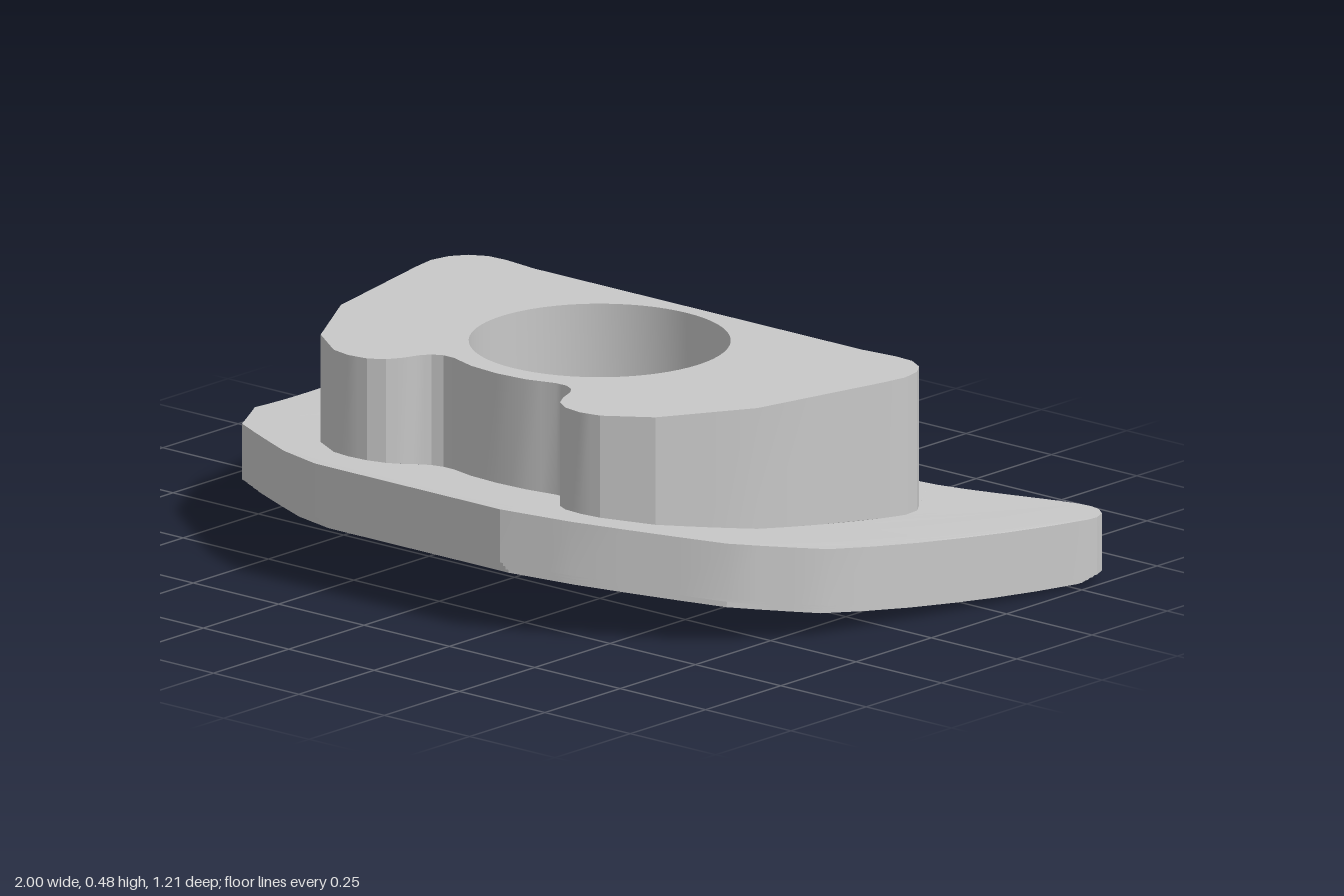
import * as THREE from 'three';
import { toCreasedNormals } from 'three/addons/utils/BufferGeometryUtils.js';

// Heights of the gently curved plate along z
const topY = z => 0.155 + 0.09 * (z + 0.6) ** 2;
const bottomY = z => 0.105 * Math.max(z + 0.55, 0) ** 2;
const BLOCK_TOP = 0.48;
const POCKET_TOP = 0.29;

// Rings are lists of [x, z], running front -> +x -> back -> -x
const mirrorRing = half => [
  ...half,
  ...half.filter(p => p[0] > 0).reverse().map(([x, z]) => [-x, z]),
];
const flipX = ring => ring.map(([x, z]) => [-x, z]).reverse();
const mix = (a, b, t) => a.map((p, i) => [0, 1].map(k => p[k] + (b[i][k] - p[k]) * t));
const densify = (ring, n) => ring.flatMap((p, i) => {
  const q = ring[(i + 1) % ring.length];
  return Array.from({ length: n }, (_, k) => [0, 1].map(c => p[c] + (q[c] - p[c]) * k / n));
});
// Moves a ring inwards by d
const inset = (ring, d) => ring.map((p, i) => {
  const a = ring[(i + ring.length - 1) % ring.length], b = ring[(i + 1) % ring.length];
  const dx = b[0] - a[0], dz = b[1] - a[1], l = Math.hypot(dx, dz);
  return [p[0] + dz / l * d, p[1] - dx / l * d];
});
const lift = (ring, y) => ring.map(([x, z]) => [x, typeof y === 'function' ? y(z) : y, z]);

// Wall through a stack of lifted rings, from bottom to top
function wall(out, rings, inward = false) {
  for (let r = 0; r + 1 < rings.length; r++) {
    const a = rings[r], b = rings[r + 1];
    a.forEach((p, i) => {
      const j = (i + 1) % a.length;
      const q = inward ? [p, b[j], a[j], p, b[i], b[j]] : [p, a[j], b[j], p, b[j], b[i]];
      q.forEach(v => out.push(...v));
    });
  }
}

// Cap with holes, subdivided so that it can follow a curved height
function cap(out, ring, holes, y, up, levels) {
  const vec = r => r.map(([x, z]) => new THREE.Vector2(x, z));
  const pts = [ring, ...holes].flat();
  const height = typeof y === 'function' ? y : () => y;
  const split = (a, b, c, n) => {
    if (n === 0) {
      [a, b, c].forEach(([x, z]) => out.push(x, height(z), z));
      return;
    }
    const mid = (p, q) => [(p[0] + q[0]) / 2, (p[1] + q[1]) / 2];
    const ab = mid(a, b), bc = mid(b, c), ca = mid(c, a);
    split(a, ab, ca, n - 1);
    split(ab, b, bc, n - 1);
    split(ca, bc, c, n - 1);
    split(ab, bc, ca, n - 1);
  };
  for (const [i, j, k] of THREE.ShapeUtils.triangulateShape(vec(ring), holes.map(vec))) {
    const a = pts[i], b = pts[j], c = pts[k];
    const ny = (b[1] - a[1]) * (c[0] - a[0]) - (b[0] - a[0]) * (c[1] - a[1]);
    if ((ny > 0) === up) split(a, b, c, levels);
    else split(a, c, b, levels);
  }
}

function addMesh(group, name, material, out) {
  const geometry = new THREE.BufferGeometry();
  geometry.setAttribute('position', new THREE.Float32BufferAttribute(out, 3));
  const mesh = new THREE.Mesh(toCreasedNormals(geometry, 0.4), material);
  mesh.name = name;
  group.add(mesh);
}

export function createModel() {
  const group = new THREE.Group();
  group.name = 'mountingPlate';
  const grey = new THREE.MeshStandardMaterial({ color: 0xc8c8c8 });
  grey.name = 'plain grey';

  // Outlines
  const plate = densify(mirrorRing([
    [0, 0.605], [0.27, 0.605], [0.42, 0.54], [0.71, 0.35], [0.84, 0.16], [0.92, -0.2],
    [0.998, -0.52], [1, -0.55], [0.987, -0.582], [0.96, -0.602], [0.93, -0.608],
    [0.89, -0.603], [0.82, -0.583], [0.72, -0.55], [0.64, -0.525], [0.57, -0.508],
    [0.5, -0.5], [0, -0.5],
  ]), 3);
  const block = densify(mirrorRing([
    [0, 0.31], [0.08, 0.303], [0.15, 0.281], [0.18, 0.281], [0.205, 0.294], [0.22, 0.315],
    [0.235, 0.355], [0.255, 0.388], [0.29, 0.411], [0.34, 0.418], [0.39, 0.408],
    [0.49, 0.338], [0.61, 0.135], [0.685, -0.2], [0.695, -0.26], [0.685, -0.31],
    [0.66, -0.345], [0.62, -0.367], [0.57, -0.37], [0.48, -0.36], [0, -0.36],
  ]), 2);
  const rim = densify([
    [0.335, -0.33], [0.335, 0.29], [0.355, 0.33], [0.4, 0.345], [0.5, 0.33], [0.64, 0.19],
    [0.74, 0], [0.815, -0.285], [0.805, -0.335], [0.755, -0.36], [0.37, -0.36],
  ], 3);
  const cavity = densify([
    [0.335, -0.27], [0.335, 0.29], [0.34, 0.335], [0.37, 0.355], [0.44, 0.315], [0.56, 0.11],
    [0.6, -0.06], [0.64, -0.24], [0.63, -0.29], [0.58, -0.315], [0.37, -0.315],
  ], 3);
  const bore = Array.from({ length: 64 }, (_, i) => {
    const t = i / 64 * Math.PI * 2;
    return [0.288 * Math.sin(t), -0.033 + 0.288 * Math.cos(t)];
  });

  // Curved base plate with a finely stepped lower edge
  const base = [], baseRings = [];
  const edgeSteps = 3, edgeInset = 0.036, edgeRise = 0.024;
  const foot = inset(plate, edgeInset);
  for (let k = 0; k < edgeSteps; k++) {
    const ring = mix(foot, plate, k / edgeSteps);
    for (const n of [k, k + 1]) baseRings.push(lift(ring, z => bottomY(z) + edgeRise * n / edgeSteps));
  }
  baseRings.push(lift(plate, z => bottomY(z) + edgeRise), lift(plate, topY));
  wall(base, baseRings);
  cap(base, plate, [block], topY, true, 2);
  cap(base, foot, [rim, flipX(rim)], bottomY, false, 3);
  addMesh(group, 'basePlate', grey, base);

  // Raised block with its round blind bore
  const body = [];
  wall(body, [lift(block, topY), lift(block, BLOCK_TOP)]);
  cap(body, block, [bore], BLOCK_TOP, true, 0);
  addMesh(group, 'raisedBlock', grey, body);

  const hole = [];
  wall(hole, [lift(bore, 0.1), lift(bore, BLOCK_TOP)], true);
  cap(hole, bore, [], 0.1, true, 0);
  addMesh(group, 'roundBore', grey, hole);

  // Stepped pockets under the plate, reaching up into the block
  for (const [name, side] of [['leftPocket', r => r], ['rightPocket', flipX]]) {
    const out = [], rings = [], steps = 4;
    const level = t => z => bottomY(z) + (topY(z) - 0.04 - bottomY(z)) * t;
    for (let k = 0; k < steps; k++) {
      const ring = side(mix(rim, cavity, k / steps));
      rings.push(lift(ring, level(k / steps)), lift(ring, level((k + 1) / steps)));
    }
    const inner = side(cavity);
    rings.push(lift(inner, level(1)), lift(inner, POCKET_TOP));
    wall(out, rings, true);
    cap(out, inner, [], POCKET_TOP, false, 0);
    addMesh(group, name, grey, out);
  }
  return group;
}
